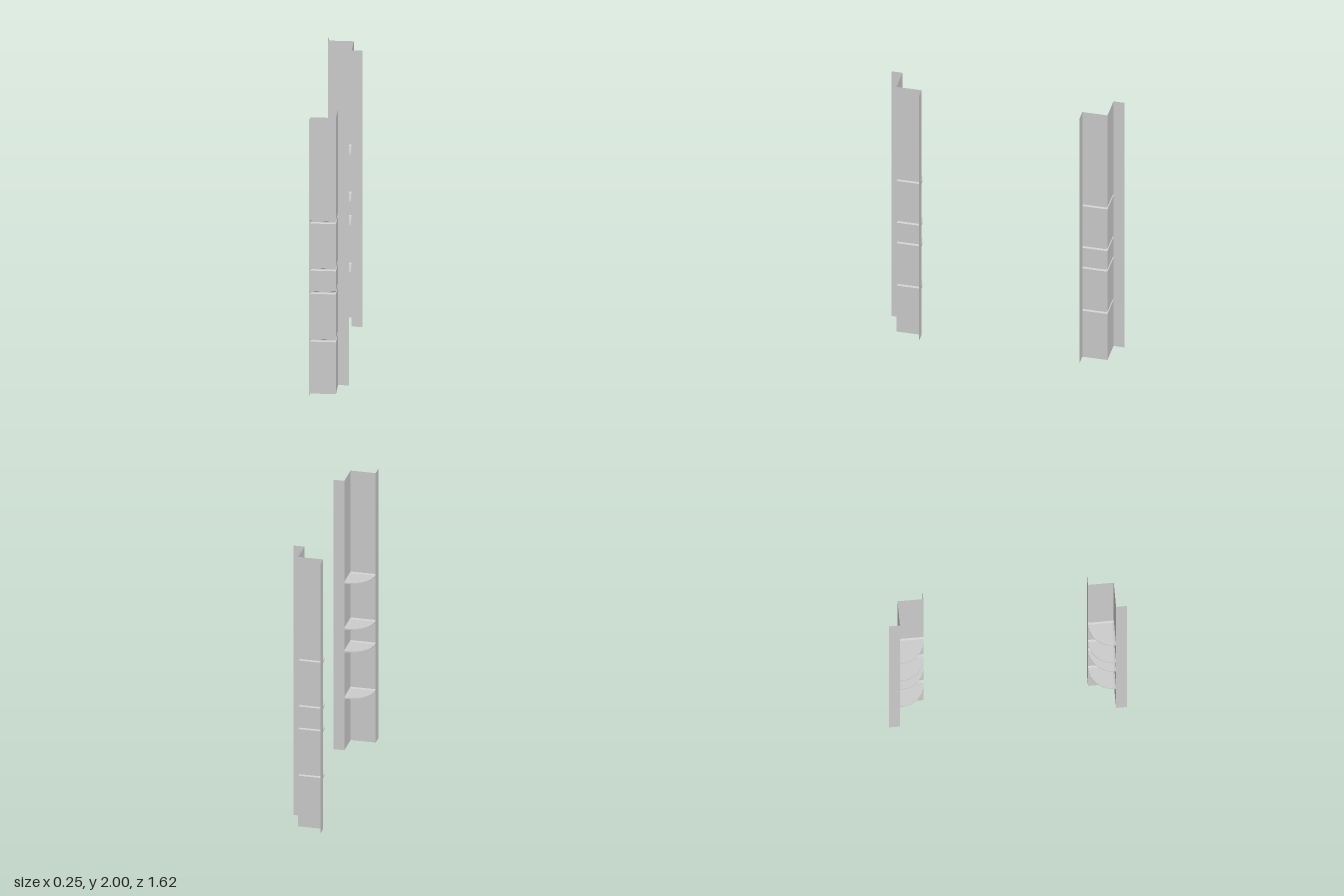
import * as THREE from 'three';

const SHELF_HEIGHTS = [0.386, 0.732, 0.9, 1.241];
const LEFT = -0.125, RIGHT = 0.125, INNER = 0.56, OUTER = 0.81; // post outline
const CORNER_X = 0.05, CORNER_Z = 0.735;                        // ridge of the fold
const DEPTH = 0.013, HALF_GAP = 0.01, HALF_PLATE = 0.004;

// Folded sheet: flange, panel, ridge, panel, flange, pinched inwards at each shelf
function foldedSheet() {
  const rows = [[0, 0]];
  for (const y of SHELF_HEIGHTS) {
    rows.push([y - HALF_GAP, 0], [y - HALF_PLATE, DEPTH], [y + HALF_PLATE, DEPTH], [y + HALF_GAP, 0]);
  }
  rows.push([2, 0]);

  const section = ([y, d]) => [
    [LEFT, y, OUTER],
    [LEFT, y, CORNER_Z - d],
    [CORNER_X - d, y, CORNER_Z - d],
    [CORNER_X - d, y, INNER],
    [RIGHT, y, INNER],
  ];

  const positions = [];
  for (let r = 0; r < rows.length - 1; r++) {
    const low = section(rows[r]), high = section(rows[r + 1]);
    for (let i = 0; i < low.length - 1; i++) {
      const [a, b, c, d] = [low[i], low[i + 1], high[i + 1], high[i]];
      positions.push(...a, ...b, ...c, ...a, ...c, ...d);
    }
  }
  const geometry = new THREE.BufferGeometry();
  geometry.setAttribute('position', new THREE.Float32BufferAttribute(positions, 3));
  geometry.computeVertexNormals();
  return geometry;
}

function createPost(name, material) {
  const post = new THREE.Group();
  post.name = name;

  const sheet = new THREE.Mesh(foldedSheet(), material);
  sheet.name = 'foldedSheet';
  post.add(sheet);

  // Quarter-round plates in the inside corner
  const cx = CORNER_X - DEPTH, cz = CORNER_Z - DEPTH, radius = cx - LEFT;
  const plate = new THREE.CylinderGeometry(radius, radius, HALF_PLATE * 2, 24, 1, false, Math.PI, Math.PI / 2);
  SHELF_HEIGHTS.forEach((y, i) => {
    const shelf = new THREE.Mesh(plate, material);
    shelf.name = `quarterShelf${i + 1}`;
    shelf.position.set(cx, y, cz);
    post.add(shelf);
  });
  return post;
}

export function createModel() {
  const model = new THREE.Group();
  model.name = 'postPair';
  const material = new THREE.MeshStandardMaterial({ color: 0xcccccc, side: THREE.DoubleSide });

  // The back post mirrors the front post
  const front = createPost('frontPost', material);
  const back = createPost('backPost', material);
  back.scale.z = -1;
  model.add(front, back);
  return model;
}
